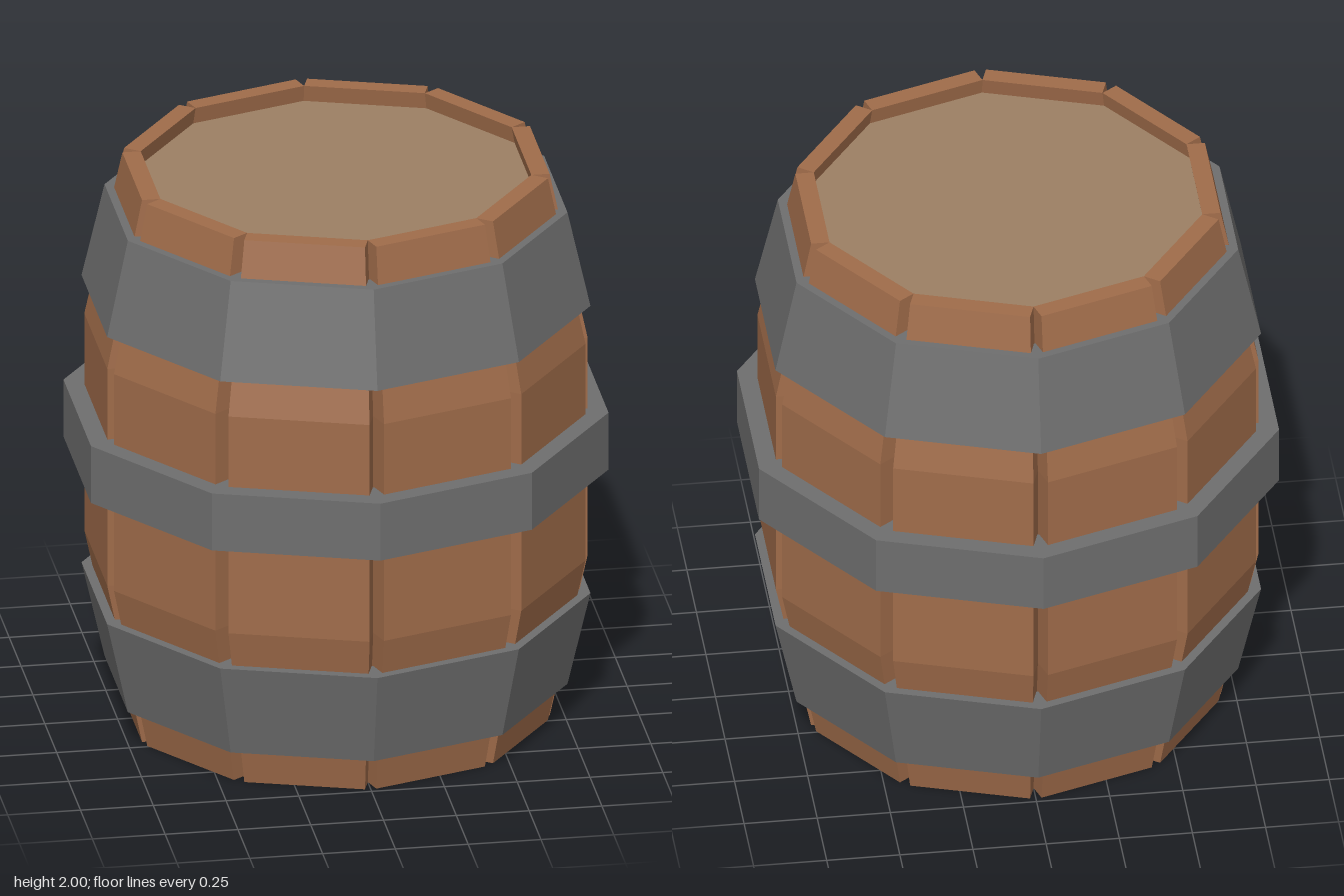
import * as THREE from 'three';

const SIDES = 10;
const STEP = (Math.PI * 2) / SIDES;
const TAN = Math.tan(STEP / 2);
const COS = Math.cos(STEP / 2);

const material = (color) => new THREE.MeshStandardMaterial({ color, flatShading: true });

// One stave facing +x: a box bent so that it bulges in the middle
function staveGeometry() {
  const levels = [
    { y: 0, outer: 0.7, inner: 0.637 },
    { y: 0.6, outer: 0.825, inner: 0.745 },
    { y: 1.4, outer: 0.825, inner: 0.745 },
    { y: 2, outer: 0.7, inner: 0.637 },
  ];
  const geometry = new THREE.BoxGeometry(1, 1, 1, 1, 3, 1);
  const pos = geometry.attributes.position;
  for (let i = 0; i < pos.count; i++) {
    const level = levels[Math.round((pos.getY(i) + 0.5) * 3)];
    const radius = pos.getX(i) > 0 ? level.outer : level.inner;
    // parallel sides: staves touch inside and leave a V groove outside
    pos.setXYZ(i, radius, level.y, Math.sign(pos.getZ(i)) * level.inner * TAN);
  }
  geometry.computeVertexNormals();
  return geometry;
}

// Ten-sided ring; radii are measured to the middle of the flats
function hoopGeometry(y0, outer0, inner0, y1, outer1, inner1) {
  const profile = [
    [outer0, y0], [outer1, y1], [inner1, y1], [inner0, y0], [outer0, y0],
  ].map(([r, y]) => new THREE.Vector2(r / COS, y));
  return new THREE.LatheGeometry(profile, SIDES);
}

export function createModel() {
  const barrel = new THREE.Group();
  barrel.name = 'barrel';
  const add = (name, geometry, mat, parent = barrel) => {
    const mesh = new THREE.Mesh(geometry, mat);
    mesh.name = name;
    parent.add(mesh);
    return mesh;
  };

  const wood = material(0xa06c4a);
  const iron = material(0x6e6e6e);
  const headWood = material(0x9c8064);

  // Staves
  const staves = new THREE.Group();
  staves.name = 'staves';
  barrel.add(staves);
  const stave = staveGeometry();
  for (let i = 0; i < SIDES; i++) {
    add('stave', stave, wood, staves).rotation.y = i * STEP;
  }

  // Heads, recessed within the stave ends
  const head = new THREE.CylinderGeometry(0.65 / COS, 0.65 / COS, 0.06, SIDES);
  add('topHead', head, headWood).position.y = 1.91;
  add('bottomHead', head, headWood).position.y = 0.09;

  // Hoops
  add('bottomHoop', hoopGeometry(0.13, 0.755, 0.67, 0.47, 0.83, 0.73), iron);
  add('middleHoop', hoopGeometry(0.93, 0.889, 0.755, 1.14, 0.889, 0.755), iron);
  add('topHoop', hoopGeometry(1.53, 0.83, 0.73, 1.87, 0.755, 0.67), iron);

  return barrel;
}
